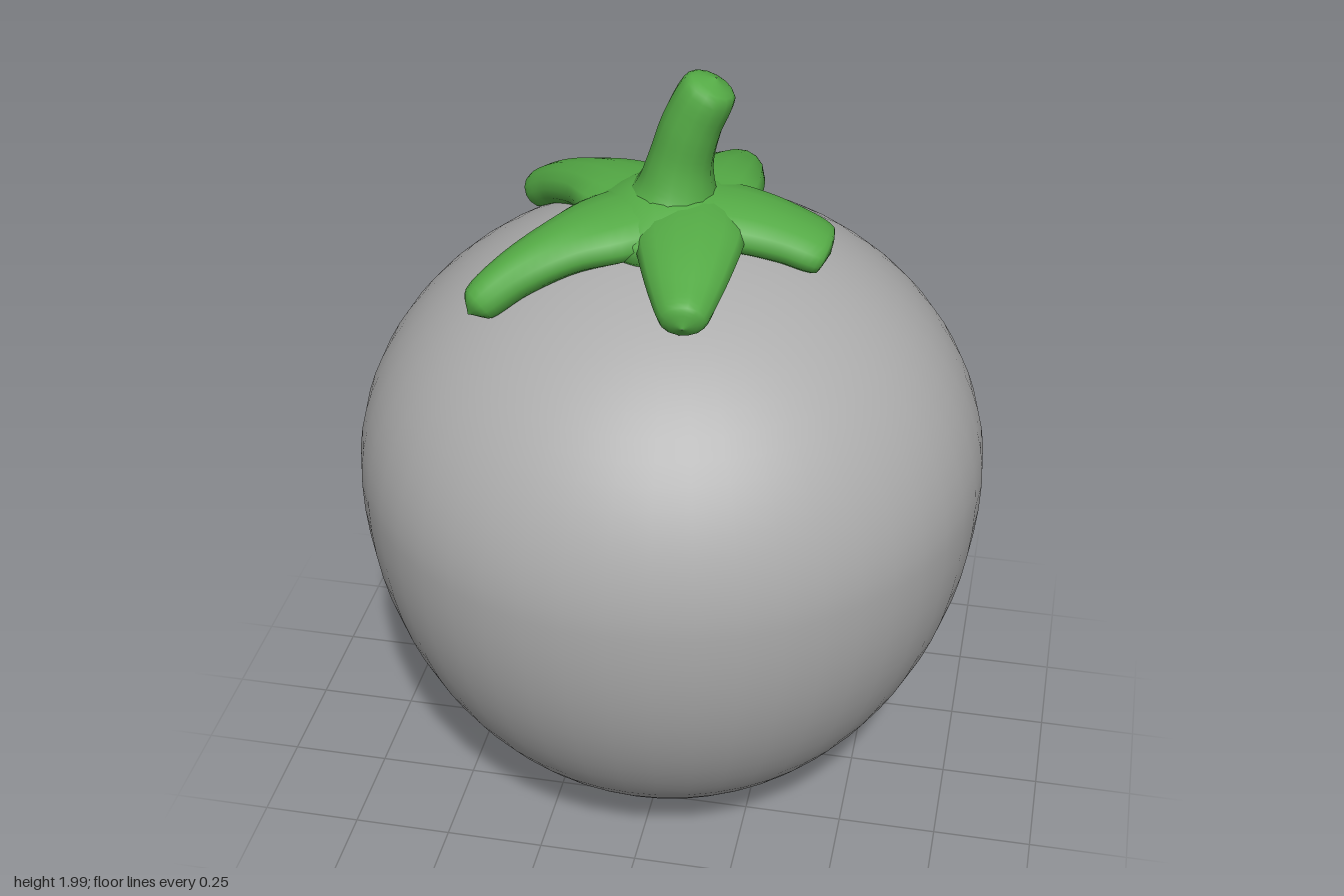
import * as THREE from 'three';

const V = (x, y, z) => new THREE.Vector3(x, y, z);

// Sweeps an oval along stations [x, y, z, halfWidth, halfHeight]; side is the width direction.
function sweep(stations, side, sides = 14, steps = 24) {
  const path = new THREE.CatmullRomCurve3(stations.map(s => V(s[0], s[1], s[2])), false, 'centripetal');
  const size = new THREE.CatmullRomCurve3(stations.map((s, i) => V(s[3], s[4], i)), false, 'centripetal');
  const pos = [], index = [];
  for (let i = 0; i <= steps; i++) {
    const t = i / steps;
    const p = path.getPoint(t), s = size.getPoint(t);
    const n = path.getTangent(t).cross(side).normalize();
    for (let j = 0; j < sides; j++) {
      const a = (j / sides) * Math.PI * 2;
      const q = p.clone()
        .addScaledVector(side, Math.cos(a) * Math.max(s.x, 0.001))
        .addScaledVector(n, Math.sin(a) * Math.max(s.y, 0.001));
      pos.push(q.x, q.y, q.z);
      if (i < steps) {
        const k = (j + 1) % sides, b = i * sides, c = b + sides;
        index.push(b + j, b + k, c + j, b + k, c + k, c + j);
      }
    }
  }
  const g = new THREE.BufferGeometry();
  g.setAttribute('position', new THREE.Float32BufferAttribute(pos, 3));
  g.setIndex(index);
  g.computeVertexNormals();
  return g;
}

// A leaf runs from start [x, z] to tip [x, z]; rows are [fraction, y, halfWidth, halfHeight].
function leaf(start, tip, rows) {
  const dx = tip[0] - start[0], dz = tip[1] - start[1];
  const stations = rows.map(([f, y, w, h]) => [start[0] + dx * f, y, start[1] + dz * f, w, h]);
  return sweep(stations, V(-dz, 0, dx).normalize());
}

export function createModel() {
  const group = new THREE.Group();
  const grey = new THREE.MeshStandardMaterial({ color: 0xacacac });
  grey.name = 'fruit grey';
  const green = new THREE.MeshStandardMaterial({ color: 0x54aa45 });
  green.name = 'leaf green';
  const add = (name, geometry, material) => {
    const mesh = new THREE.Mesh(geometry, material);
    mesh.name = name;
    group.add(mesh);
  };

  // Fruit body: a tall half ellipse below the widest line and a flatter one above
  const profile = [];
  for (let i = 0; i <= 40; i++) {
    const a = (i / 40 - 0.5) * Math.PI;
    const r = i % 40 ? 0.787 * Math.cos(a) : 0;
    profile.push(new THREE.Vector2(r, 0.94 + Math.sin(a) * (a < 0 ? 0.94 : 0.66)));
  }
  add('fruit', new THREE.LatheGeometry(profile, 48), grey);

  // Calyx hub
  const hub = new THREE.LatheGeometry([
    [0, 1.54], [0.17, 1.55], [0.215, 1.59], [0.205, 1.63], [0.16, 1.665], [0.1, 1.695], [0, 1.72],
  ].map(([r, y]) => new THREE.Vector2(r, y)), 24);
  add('calyxHub', hub, green);

  // Mirrored side and rear leaves
  for (const s of [1, -1]) {
    const label = s > 0 ? 'front' : 'back';
    add(label + 'Leaf', leaf([0.05, 0], [0.105, 0.415 * s], [
      [0, 1.625, 0.12, 0.07], [0.3, 1.625, 0.13, 0.062], [0.55, 1.607, 0.11, 0.06],
      [0.78, 1.58, 0.082, 0.055], [0.95, 1.557, 0.052, 0.046], [1, 1.55, 0, 0],
    ]), green);
    add(label + 'RightLeaf', leaf([0, 0], [-0.425, 0.315 * s], [
      [0, 1.625, 0.14, 0.07], [0.34, 1.615, 0.13, 0.062], [0.55, 1.595, 0.092, 0.058],
      [0.78, 1.55, 0.064, 0.054], [0.95, 1.495, 0.045, 0.045], [1, 1.475, 0, 0],
    ]), green);
  }

  // Blunt left leaf
  add('leftLeaf', leaf([0.02, 0], [0.385, 0], [
    [0, 1.625, 0.15, 0.07], [0.4, 1.622, 0.13, 0.062], [0.7, 1.597, 0.11, 0.058],
    [0.96, 1.56, 0.088, 0.047], [1, 1.553, 0, 0],
  ]), green);

  // Leaning stem
  add('stem', sweep([
    [0, 1.62, 0, 0.16, 0.15], [0.01, 1.69, 0, 0.105, 0.1], [0.022, 1.77, 0, 0.08, 0.078],
    [0.05, 1.87, 0, 0.075, 0.072], [0.093, 1.96, 0, 0.062, 0.062], [0.104, 1.982, 0, 0, 0],
  ], V(0, 0, 1)), green);

  return group;
}
